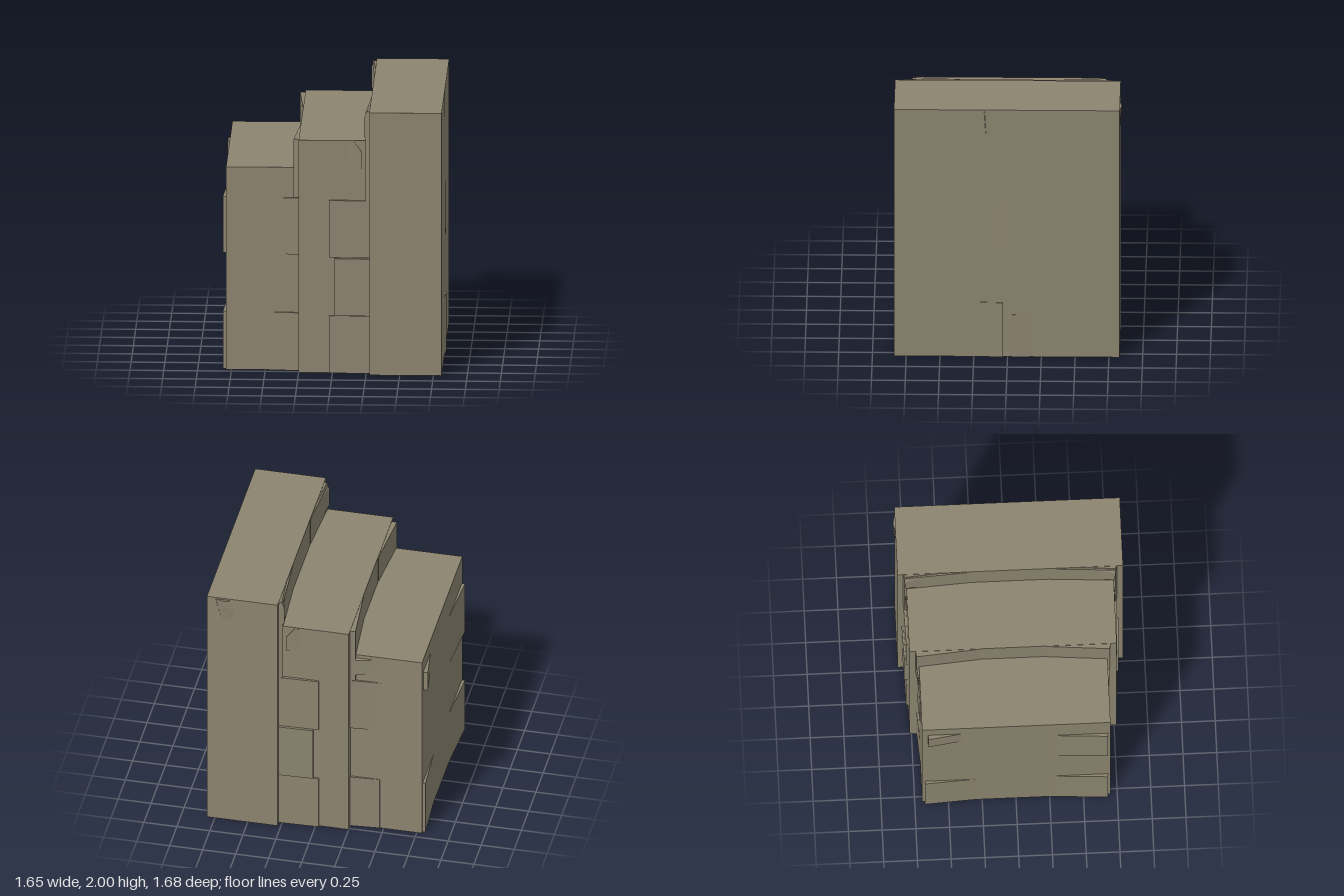
import * as THREE from 'three';
import { ConvexGeometry } from 'three/addons/geometries/ConvexGeometry.js';

export function createModel() {
  const group = new THREE.Group();
  const stone = new THREE.MeshStandardMaterial({ color: 0x8c8470 });
  stone.name = 'weathered stone';

  const add = (name, geometry) => {
    const mesh = new THREE.Mesh(geometry, stone);
    mesh.name = name;
    group.add(mesh);
  };

  // Solid block between two corners
  const block = (name, x0, x1, y0, y1, z0, z1) => {
    const g = new THREE.BoxGeometry(x1 - x0, y1 - y0, z1 - z0);
    g.translate((x0 + x1) / 2, (y0 + y1) / 2, (z0 + z1) / 2);
    add(name, g);
  };

  // Upright prism over a plan outline of [x, z] corners
  const prism = (name, plan, y0, y1) => {
    const shape = new THREE.Shape(plan.map(([x, z]) => new THREE.Vector2(x, -z)));
    const g = new THREE.ExtrudeGeometry(shape, { depth: y1 - y0, bevelEnabled: false });
    g.rotateX(-Math.PI / 2).translate(0, y0, 0);
    add(name, g);
  };

  // Irregular chip of stone wrapped around a few points
  const chip = (name, points) =>
    add(name, new ConvexGeometry(points.map((p) => new THREE.Vector3(...p))));

  // Three steps, each taller and deeper than the last
  block('lowStep', -0.79, -0.25, 0, 1.545, -0.695, 0.70);
  block('middleStep', -0.25, 0.275, 0, 1.77, -0.765, 0.77);
  block('tallStep', 0.275, 0.81, 0, 2, -0.83, 0.84);

  // Bricks that repeat on the front and the back
  for (const [side, s, low, mid] of [['front', 1, 0.70, 0.77], ['back', -1, 0.695, 0.765]]) {
    // Bricks in the corner between the middle and tall steps
    for (const [y0, y1, x0, out] of [[0, 0.435, -0.025, 0.022], [0.44, 0.875, 0.015, 0.035], [0.88, 1.315, -0.025, 0.022]]) {
      prism(side + 'MiddleBrick',
        [[x0, s * (mid - 0.03)], [x0, s * (mid + out - 0.008)], [0.28, s * (mid + out)], [0.28, s * (mid - 0.03)]], y0, y1);
    }
    // Bricks tapering out of the low step
    for (const [y0, y1, x0] of [[0, 0.44, -0.47], [0.885, 1.315, -0.48]]) {
      prism(side + 'LowBrick',
        [[x0, s * (low - 0.01)], [x0, s * (low + 0.002)], [-0.245, s * (low + 0.018)], [-0.245, s * (low - 0.01)]], y0, y1);
    }
    // Corner quoins standing proud of each riser
    prism(side + 'LowRiserQuoin',
      [[-0.24, s * 0.25], [-0.252, s * 0.25], [-0.29, s * (low + 0.018)], [-0.25, s * (low + 0.025)], [-0.24, s * low]], 1.32, 1.765);
    prism(side + 'TallRiserQuoin',
      [[0.285, s * 0.3], [0.274, s * 0.3], [0.245, s * (mid + 0.015)], [0.275, s * (mid + 0.025)], [0.285, s * mid]], 1.315, 1.99);
    // Bevelled coping stones at the head of each riser
    for (const [name, x, z, y0, y1, d] of [['Low', -0.25, low, 1.56, 1.765, 0.035], ['Tall', 0.275, mid, 1.78, 1.995, 0.04]]) {
      chip(side + name + 'RiserChip', [
        [x + 0.01, y0, s * (z + 0.015)], [x - d, y0 + 0.02, s * (z + 0.005)],
        [x - d, y1 - 0.05, s * (z + 0.015)], [x - d + 0.02, y1, s * (z + 0.01)],
        [x + 0.01, y1, s * (z + 0.025)], [x + 0.005, y0, s * 0.48], [x + 0.005, y1, s * 0.48],
      ]);
    }
    // Clipped chips beside the joints
    chip(side + 'MiddleChip', [
      [0.11, 1.56, s * (mid - 0.002)], [0.22, 1.56, s * (mid + 0.012)], [0.22, 1.68, s * (mid + 0.012)],
      [0.16, 1.76, s * (mid + 0.006)], [0.11, 1.76, s * (mid - 0.002)],
      [0.22, 1.56, s * (mid - 0.01)], [0.22, 1.68, s * (mid - 0.01)], [0.16, 1.76, s * (mid - 0.01)],
    ]);
  }

  // Wedge quoins on the outer face of the low step
  const outerQuoin = (name, corner, fade, out, y0, y1) =>
    prism(name, [[-0.78, fade], [-0.79, fade], [-0.79 - out, corner], [-0.78, corner]], y0, y1);
  outerQuoin('frontOuterQuoin', 0.68, 0.25, 0.025, 0, 0.44);
  outerQuoin('frontOuterQuoin', 0.68, 0.25, 0.025, 0.885, 1.315);
  outerQuoin('backOuterQuoin', -0.675, -0.3, 0.022, 0, 0.44);
  outerQuoin('backOuterChip', -0.65, -0.4, 0.035, 1.27, 1.43);
  chip('backLowChip', [
    [-0.47, 1.4, -0.69], [-0.47, 1.52, -0.69], [-0.25, 1.36, -0.69], [-0.25, 1.52, -0.69],
    [-0.27, 1.37, -0.715], [-0.27, 1.5, -0.715],
  ]);

  // Split stones on the plain side of the tall step
  prism('sideStone', [[0.8, 0.035], [0.821, 0.035], [0.81, 0.21], [0.8, 0.21]], 0, 0.44);
  prism('sideStone', [[0.8, -0.035], [0.814, -0.035], [0.81, -0.18], [0.8, -0.18]], 0, 0.34);
  chip('sideChip', [
    [0.8, 0.88, 0.04], [0.8, 0.96, 0.11], [0.816, 0.88, 0.04], [0.816, 0.91, 0.04],
    [0.81, 1.3, 0.04], [0.8, 1.3, 0.04], [0.81, 0.96, 0.11],
  ]);
  chip('sideTopChip', [
    [0.8, 1.8, 0.17], [0.8, 1.99, 0.18], [0.8, 1.99, 0.04], [0.8, 1.8, 0.1],
    [0.814, 1.99, 0.17], [0.812, 1.81, 0.16],
  ]);

  // Rounded chip on the back of the tall step
  chip('backTopChip', [
    [0.57, 1.985, -0.82], [0.75, 1.985, -0.82], [0.68, 1.985, -0.845], [0.74, 1.99, -0.838],
    [0.6, 1.86, -0.83], [0.66, 1.8, -0.83], [0.7, 1.82, -0.83], [0.67, 1.95, -0.845],
  ]);
  return group;
}
